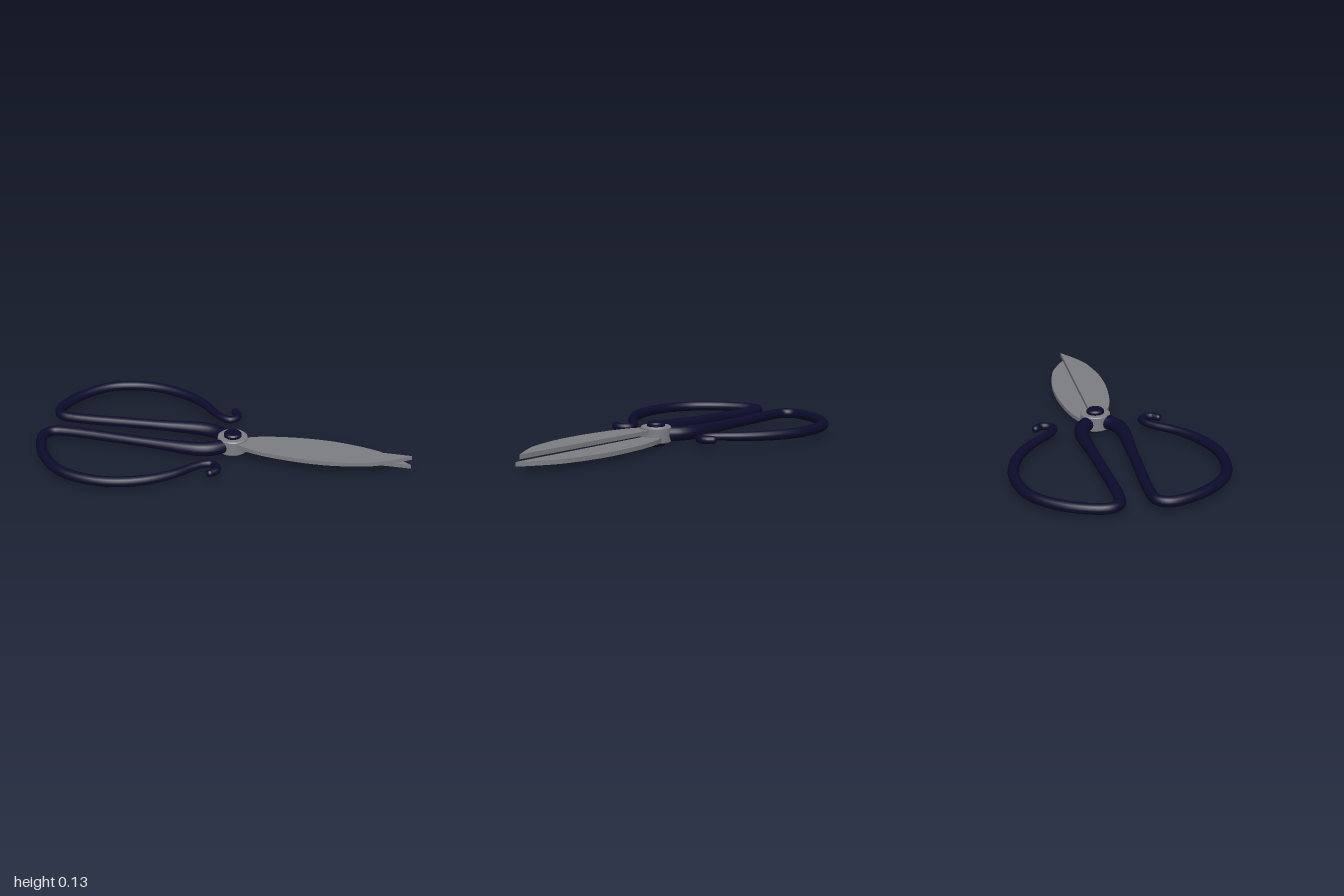
import * as THREE from 'three';

const steel = new THREE.MeshStandardMaterial({ color: 0x7d7e83 });
steel.name = 'steel';
const navy = new THREE.MeshStandardMaterial({ color: 0x0b0b2c });
navy.name = 'navy';

const MID = 0.067; // height of the middle plane

// Handle centreline: [sideways, along the blades], measured from the pivot
const HANDLE = [
  [0.041, -0.031], [0.096, -0.102], [0.117, -0.177], [0.105, -0.512], [0.085, -0.989],
  [0.098, -1.061], [0.144, -1.096], [0.222, -1.092], [0.382, -1.019], [0.518, -0.886],
  [0.573, -0.723], [0.571, -0.557], [0.512, -0.388], [0.421, -0.258], [0.32, -0.165],
  [0.278, -0.116], [0.262, -0.069], [0.286, -0.037], [0.33, -0.028], [0.365, -0.057],
];

// Curved outer edge of a blade, from the collar to the tip
const BLADE = [
  [0.074, 0.035], [0.113, 0.13], [0.141, 0.267], [0.156, 0.444],
  [0.149, 0.615], [0.11, 0.806], [0.056, 0.92], [-0.015, 1.03],
];

// Thick at the pivot, even round the loop, thinner at the hook
function handleRadius(t) {
  const s = THREE.MathUtils.smoothstep;
  return 0.042 - 0.012 * s(t, 0.04, 0.2) - 0.008 * s(t, 0.75, 0.96);
}

function makeHandle(side) {
  const group = new THREE.Group();
  const points = HANDLE.map(([x, z]) => new THREE.Vector3(side * x, MID, z));
  const curve = new THREE.CatmullRomCurve3(points, false, 'centripetal');
  const rings = 180, sides = 16;
  const geo = new THREE.TubeGeometry(curve, rings, 1, sides, false);
  const pos = geo.attributes.position;
  const p = new THREE.Vector3();
  for (let i = 0; i <= rings; i++) {
    const centre = curve.getPointAt(i / rings);
    for (let j = 0; j <= sides; j++) {
      const k = i * (sides + 1) + j;
      p.fromBufferAttribute(pos, k).sub(centre).multiplyScalar(handleRadius(i / rings)).add(centre);
      pos.setXYZ(k, p.x, p.y, p.z);
    }
  }
  geo.computeBoundingSphere();
  const bar = new THREE.Mesh(geo, navy);
  bar.name = 'handleLoop';
  group.add(bar);

  // Rounded ends
  for (const t of [0, 1]) {
    const cap = new THREE.Mesh(new THREE.SphereGeometry(handleRadius(t), 16, 12), navy);
    cap.position.copy(curve.getPointAt(t));
    cap.name = t ? 'hookEnd' : 'handleRoot';
    group.add(cap);
  }
  return group;
}

function makeBlade(side, bottom) {
  const edge = BLADE.map(([x, z]) => new THREE.Vector2(side * x, z));
  const shape = new THREE.Shape();
  shape.moveTo(-side * 0.022, 0.035);
  shape.lineTo(edge[0].x, edge[0].y);
  shape.splineThru(edge.slice(1));
  shape.closePath();
  const depth = 0.024;
  const geo = new THREE.ExtrudeGeometry(shape, { depth, bevelEnabled: false, curveSegments: 24 });
  geo.rotateX(Math.PI / 2).translate(0, bottom + depth, 0);
  return new THREE.Mesh(geo, steel);
}

// Disc with bevelled rims, centred on the middle plane
function makeDisc(radius, halfHeight, bevel, material) {
  const r = radius, h = halfHeight, b = bevel;
  const rim = [[0, -h], [r - b, -h], [r - b, -h], [r, b - h], [r, b - h],
    [r, h - b], [r, h - b], [r - b, h], [r - b, h], [0, h]];
  const mesh = new THREE.Mesh(
    new THREE.LatheGeometry(rim.map(([x, y]) => new THREE.Vector2(x, y)), 40), material);
  mesh.position.y = MID;
  return mesh;
}

export function createModel() {
  const model = new THREE.Group();
  model.name = 'shears';

  // Everything is built about the pivot, then turned to lie diagonally
  const body = new THREE.Group();
  body.name = 'shearsBody';
  body.position.set(0.177, 0, 0.095);
  body.rotation.y = 0.547;
  model.add(body);

  const add = (part, name) => {
    part.name = name;
    body.add(part);
  };
  add(makeHandle(1), 'leftHandle');
  add(makeHandle(-1), 'rightHandle');
  add(makeBlade(-1, 0.075), 'upperBlade');
  add(makeBlade(1, 0.034), 'lowerBlade');
  add(makeDisc(0.087, 0.045, 0.006, steel), 'pivotCollar');
  add(makeDisc(0.051, 0.067, 0.008, navy), 'pivotRivet');
  return model;
}
